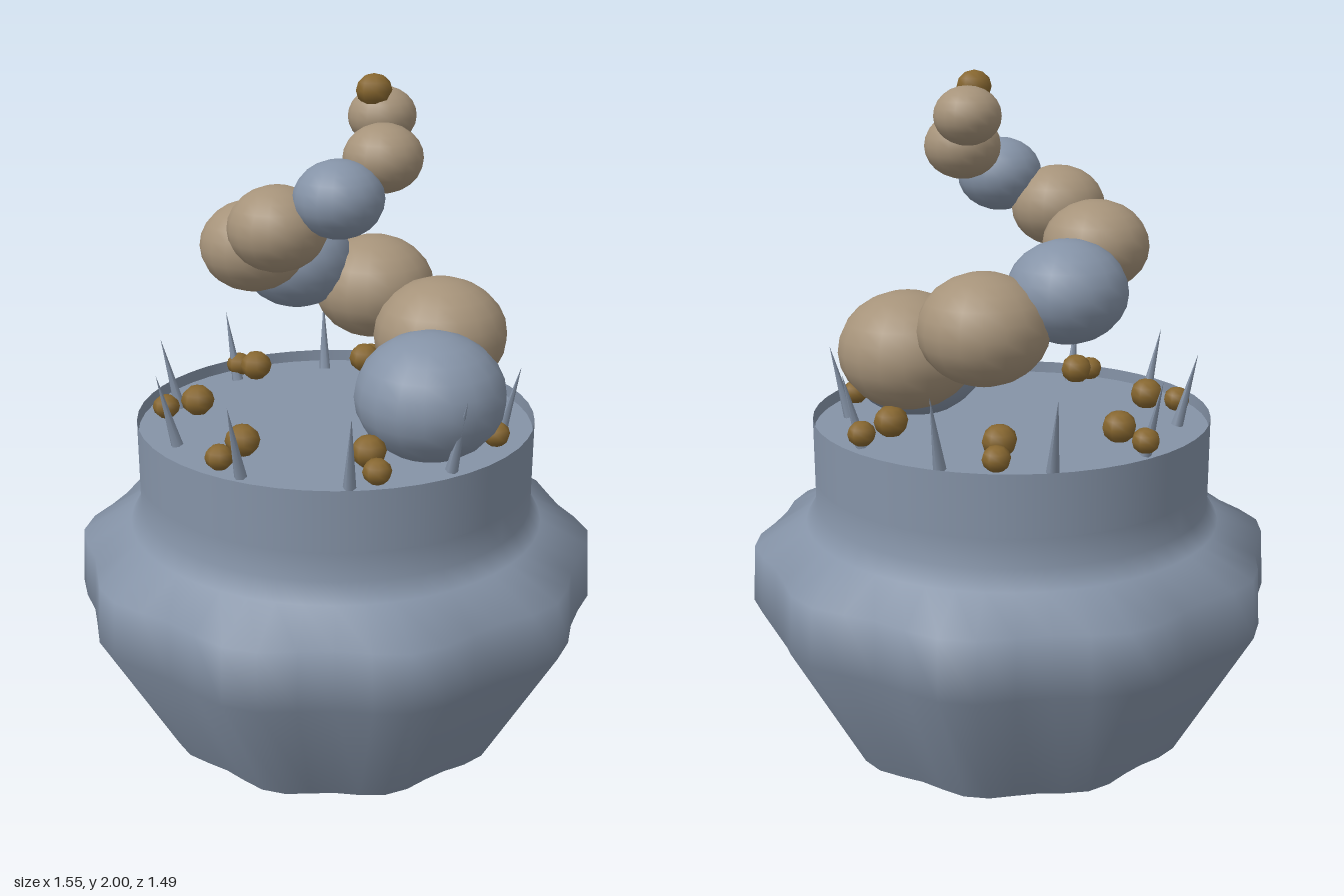
import * as THREE from 'three';
import { mergeVertices } from 'three/addons/utils/BufferGeometryUtils.js';

function material(name, color, side = THREE.FrontSide) {
  const m = new THREE.MeshStandardMaterial({ color, side });
  m.name = name;
  return m;
}

// Lathe whose radius is fluted with ten lobes
function flutedLathe(profile, rippleBelow) {
  const g = new THREE.LatheGeometry(profile.map(([r, y]) => new THREE.Vector2(r, y)), 48);
  const p = g.attributes.position;
  for (let i = 0; i < p.count; i++) {
    const x = p.getX(i), y = p.getY(i), z = p.getZ(i);
    const k = y < rippleBelow ? 1 + 0.027 * Math.cos(10 * Math.atan2(z, x)) : 1;
    p.setXYZ(i, x * k, y, z * k);
  }
  g.deleteAttribute('uv');
  g.deleteAttribute('normal');
  const merged = mergeVertices(g, 1e-4);
  merged.computeVertexNormals();
  return merged;
}

export function createModel() {
  const group = new THREE.Group();
  const slate = material('slate blue', 0x8593a7, THREE.DoubleSide);
  const tan = material('tan', 0xa6937a);
  const brown = material('brown', 0x86662f);

  function add(name, geometry, mat, x = 0, y = 0, z = 0) {
    const mesh = new THREE.Mesh(geometry, mat);
    mesh.name = name;
    mesh.position.set(x, y, z);
    group.add(mesh);
    return mesh;
  }

  // Fluted pot with a shallow conical underside
  add('potBase', flutedLathe([[0, 0], [0.531, 0.06]], 0.7), slate);
  add('potBody', flutedLathe([[0.531, 0.06], [0.755, 0.47], [0.745, 0.64],
    [0.612, 0.712], [0.58, 0.765], [0.58, 0.85]], 0.7), slate);

  // Straight neck and the surface just below its rim
  add('potNeck', new THREE.CylinderGeometry(0.58, 0.58, 0.18, 48, 1, true), slate, 0, 0.935, 0);
  add('potSurface', new THREE.CylinderGeometry(0.577, 0.577, 0.03, 48), slate, 0, 0.975, 0);

  // Spiral of slightly flattened balls: x, y, z, radius, material
  const spiral = [
    [0.335, 1.15, 0.005, 0.213, slate], [0.195, 1.24, -0.25, 0.197, tan],
    [-0.07, 1.335, -0.28, 0.182, tan], [-0.237, 1.425, -0.115, 0.168, slate],
    [-0.211, 1.515, 0.11, 0.153, tan], [-0.041, 1.605, 0.205, 0.138, tan],
    [0.119, 1.695, 0.141, 0.124, slate], [0.157, 1.787, -0.005, 0.11, tan],
    [0.078, 1.88, -0.108, 0.095, tan],
  ];
  const ball = new THREE.SphereGeometry(1, 18, 12);
  spiral.forEach(([x, y, z, r, mat], i) => {
    add('spiralBall' + (i + 1), ball, mat, x, y, z).scale.set(r, r * 0.85, r);
  });

  // Bead at the tip
  const bead = new THREE.SphereGeometry(1, 8, 6);
  add('tipBead', bead, brown, 0.086, 1.955, -0.058).scale.set(0.05, 0.045, 0.05);

  // Seven pairs of beads around the surface
  for (let i = 0; i < 7; i++) {
    const a = Math.PI / 2 + 0.02 + i * Math.PI * 2 / 7;
    const c = Math.cos(a), s = Math.sin(a);
    add('largeBead', bead, brown, 0.405 * c, 1.06, 0.405 * s).scale.set(0.049, 0.045, 0.049);
    add('smallBead', bead, brown, 0.498 * c, 1.04, 0.498 * s).scale.set(0.04, 0.036, 0.04);
  }

  // Ten thorns leaning outward near the rim
  const thorn = new THREE.ConeGeometry(0.018, 0.22, 6);
  const up = new THREE.Vector3(0, 1, 0);
  for (let i = 0; i < 10; i++) {
    const a = THREE.MathUtils.degToRad(84 - 36 * i);
    const c = Math.cos(a), s = Math.sin(a);
    const mesh = add('thorn', thorn, slate, 0.511 * c, 1.1, 0.511 * s);
    mesh.quaternion.setFromUnitVectors(up, new THREE.Vector3(0.25 * c, 1, 0.25 * s).normalize());
  }
  return group;
}
